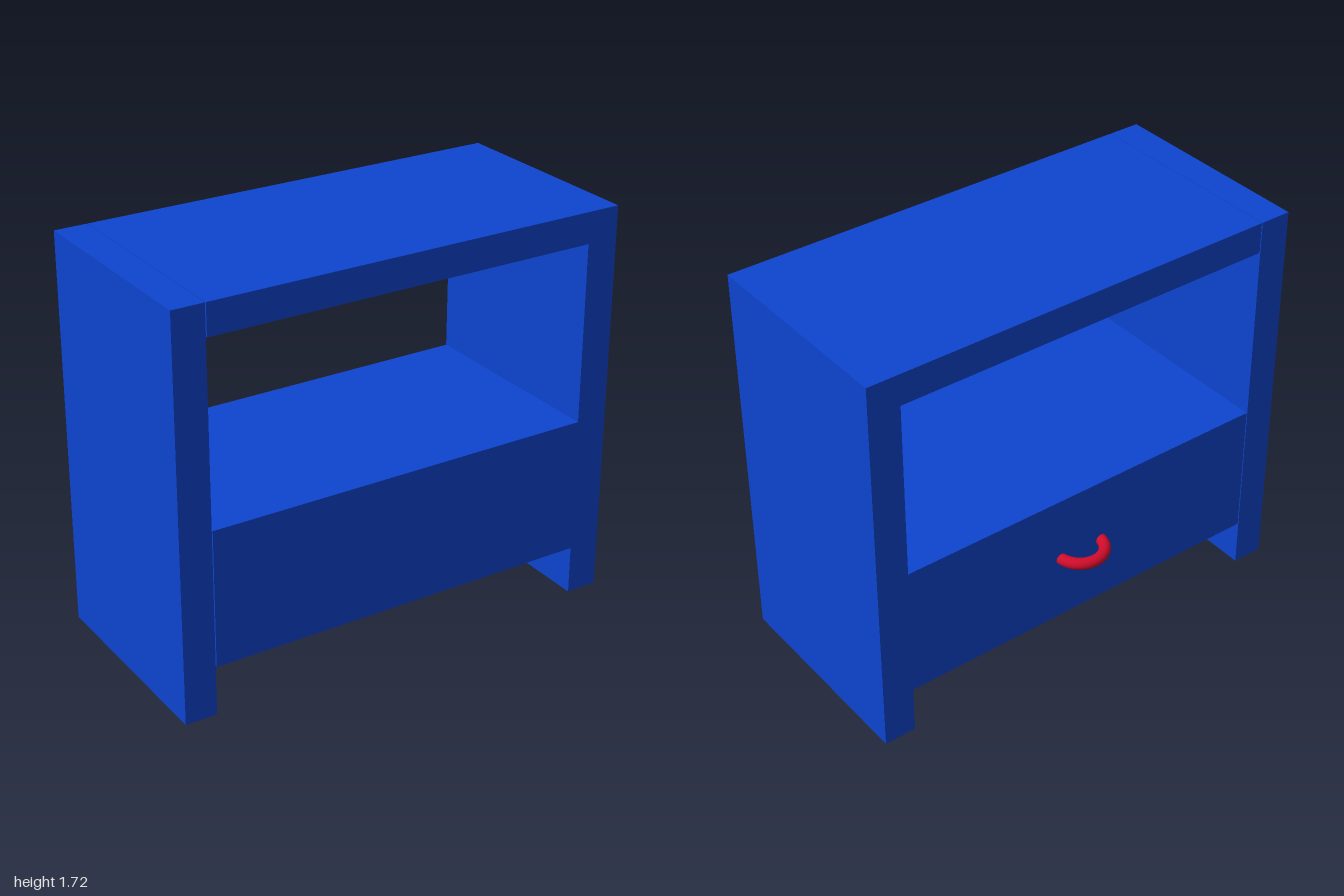
import * as THREE from 'three';

const blue = new THREE.MeshStandardMaterial({ color: 0x0d45d0 });
const red = new THREE.MeshStandardMaterial({ color: 0xd00c2c });
const BACK = -0.41, FRONT = 0.525, HEIGHT = 1.72;

// Full-depth board spanning x0..x1 and y0..y1
function board(name, x0, x1, y0, y1) {
  const mesh = new THREE.Mesh(new THREE.BoxGeometry(x1 - x0, y1 - y0, FRONT - BACK), blue);
  mesh.position.set((x0 + x1) / 2, (y0 + y1) / 2, (FRONT + BACK) / 2);
  mesh.name = name;
  return mesh;
}

export function createModel() {
  const group = new THREE.Group();
  group.name = 'nightstand';

  // Side panels, with a hairline joint beside the right one
  group.add(board('rightPanel', -1, -0.862, 0, HEIGHT));
  group.add(board('leftPanel', 0.86, 1, 0, HEIGHT));

  // Top board and drawer block between the panels
  group.add(board('topBoard', -0.858, 0.86, 1.585, HEIGHT));
  group.add(board('drawerBlock', -0.858, 0.86, 0.213, 0.806));

  // Half-ring pull on the back face, its ends sunk into the drawer
  const handle = new THREE.Mesh(new THREE.TorusGeometry(0.103, 0.025, 16, 40, Math.PI), red);
  handle.rotation.x = -Math.PI / 2;
  handle.position.set(0.02, 0.51, -0.398);
  handle.name = 'drawerHandle';
  group.add(handle);

  return group;
}
